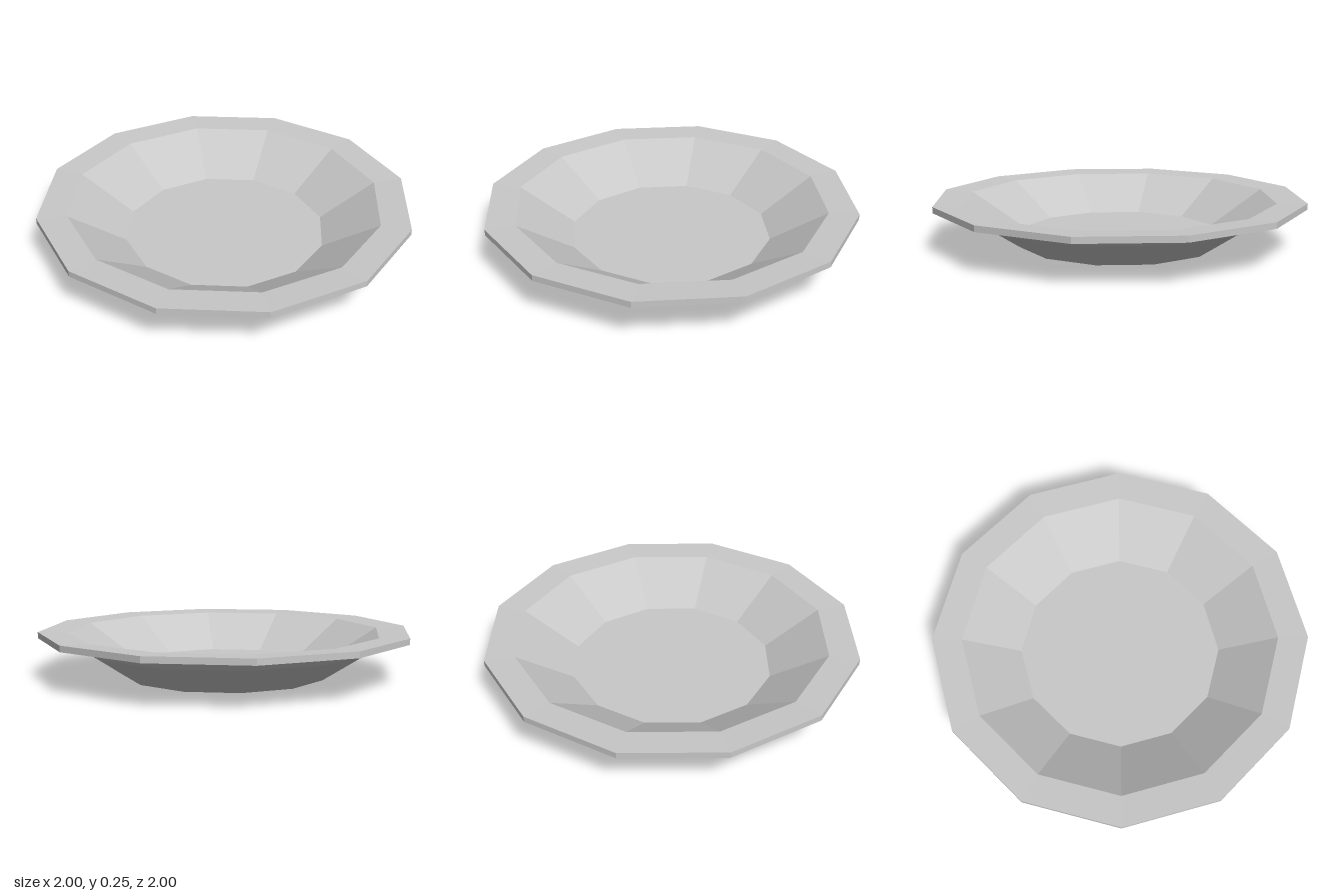
import * as THREE from 'three';

const SIDES = 12;

// Faceted ring or bowl turned from a profile of [radius, height] points
function turned(name, profile, material) {
  const points = profile.map(([r, y]) => new THREE.Vector2(r, y));
  const geometry = new THREE.LatheGeometry(points, SIDES).toNonIndexed();
  geometry.computeVertexNormals();
  const mesh = new THREE.Mesh(geometry, material);
  mesh.name = name;
  return mesh;
}

// Flat disc facing up or down, with corners matching the turned parts
function disc(name, radius, y, up, material) {
  const mesh = new THREE.Mesh(new THREE.CircleGeometry(radius, SIDES), material);
  mesh.rotation.x = up ? -Math.PI / 2 : Math.PI / 2;
  mesh.position.y = y;
  mesh.name = name;
  return mesh;
}

export function createModel() {
  const ceramic = new THREE.MeshStandardMaterial({ color: 0xc8c8c8 });
  ceramic.name = 'light grey ceramic';

  const plate = new THREE.Group();
  plate.name = 'plate';
  plate.add(
    // Underside: flat base and two sloping bands
    disc('base', 0.548, 0, false, ceramic),
    turned('outerWall', [[0.548, 0], [0.78, 0.15], [0.842, 0.213]], ceramic),
    // Rim: flat below, upright edge, slightly dished on top
    turned('rim', [[0.842, 0.213], [1, 0.213], [1, 0.245], [0.842, 0.238]], ceramic),
    // Inside: sloping wall down to the flat floor
    turned('innerWall', [[0.842, 0.238], [0.543, 0.05]], ceramic),
    disc('floor', 0.543, 0.05, true, ceramic),
  );
  return plate;
}
